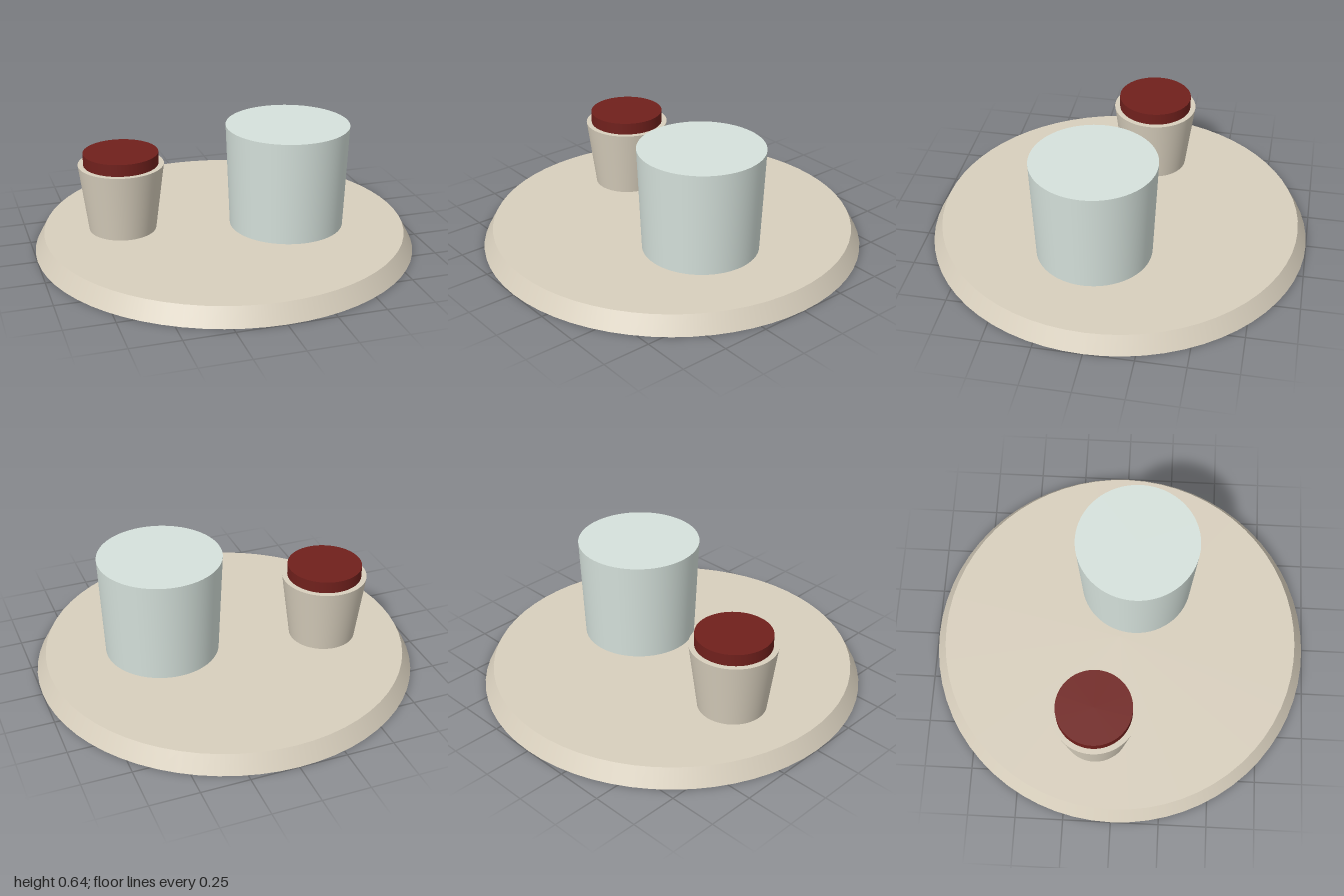
import * as THREE from 'three';

const SEGMENTS = 64;

// A closed tapered disc standing on height y0
function tapered(name, color, rTop, rBottom, y0, y1, x = 0, z = 0) {
  const geometry = new THREE.CylinderGeometry(rTop, rBottom, y1 - y0, SEGMENTS);
  const mesh = new THREE.Mesh(geometry, new THREE.MeshStandardMaterial({ color }));
  mesh.name = name;
  mesh.position.set(x, (y0 + y1) / 2, z);
  return mesh;
}

export function createModel() {
  const model = new THREE.Group();
  model.name = 'trayWithCups';

  const ceramic = 0xd8cfbd;
  const trayTop = 0.092;

  // Round tray with a bevelled edge
  model.add(tapered('tray', ceramic, 0.95, 1, 0, trayTop));

  // Large pale tumbler
  model.add(tapered('tumbler', 0xd6e2dc, 0.323, 0.3, trayTop, 0.64, 0.323, 0.075));

  // Small cup with its dark red filling
  const cup = new THREE.Group();
  cup.name = 'smallCup';
  cup.position.set(-0.527, 0, -0.103);
  cup.add(tapered('cupBody', ceramic, 0.223, 0.176, trayTop, 0.452));
  cup.add(tapered('cupFilling', 0x70201c, 0.195, 0.195, 0.44, 0.515));
  model.add(cup);

  return model;
}
